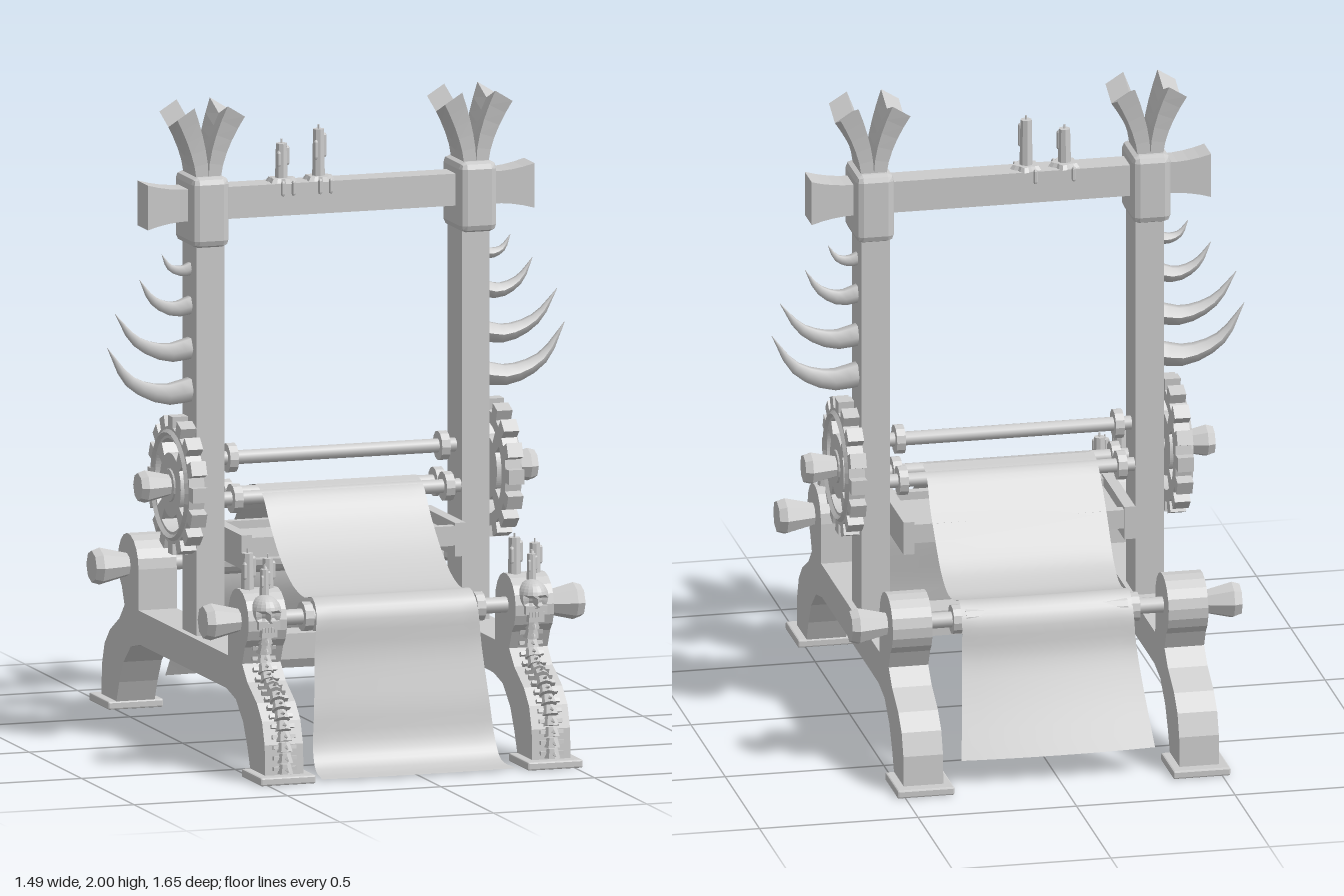
import * as THREE from 'three';
import { RoundedBoxGeometry } from 'three/addons/geometries/RoundedBoxGeometry.js';

const flat = new THREE.MeshStandardMaterial({ color: 0xcccccc, flatShading: true });
const smooth = new THREE.MeshStandardMaterial({ color: 0xcccccc });
const thin = new THREE.MeshStandardMaterial({ color: 0xcccccc, side: THREE.DoubleSide });

function add(parent, name, geo, x = 0, y = 0, z = 0, mat = flat) {
  const m = new THREE.Mesh(geo, mat);
  m.name = name;
  m.position.set(x, y, z);
  parent.add(m);
  return m;
}
const box = (w, h, d) => new THREE.BoxGeometry(w, h, d);

// Move every vertex of a geometry by a rule
function warp(geo, rule) {
  const p = geo.attributes.position, v = new THREE.Vector3();
  for (let i = 0; i < p.count; i++) {
    v.fromBufferAttribute(p, i);
    rule(v);
    p.setXYZ(i, v.x, v.y, v.z);
  }
  geo.computeVertexNormals();
  return geo;
}

// Turned part along the x axis; profile is [x, radius]
function turned(profile, sides) {
  const pts = profile.map(([x, r]) => new THREE.Vector2(r, x));
  return new THREE.LatheGeometry(pts, sides).rotateZ(-Math.PI / 2);
}

// Tapered horn swept along a curve
function horn(points, radius) {
  const curve = new THREE.CatmullRomCurve3(points.map(([x, y]) => new THREE.Vector3(x, y, 0)));
  const n = 8, sides = 6, g = new THREE.TubeGeometry(curve, n, radius, sides);
  const p = g.attributes.position, v = new THREE.Vector3();
  for (let i = 0; i <= n; i++) {
    const c = curve.getPointAt(i / n), k = Math.max(0.02, 1 - Math.pow(i / n, 1.5));
    for (let j = 0; j <= sides; j++) {
      const q = i * (sides + 1) + j;
      v.fromBufferAttribute(p, q).sub(c).multiplyScalar(k).add(c);
      p.setXYZ(q, v.x, v.y, v.z);
    }
  }
  g.computeVertexNormals();
  return g;
}

// Side frame: beam, scroll heads and S-curved legs in one profile (z, y)
function sideFrame() {
  const half = [[0.41, 0.24], [0.5, 0.22], [0.57, 0.16], [0.61, 0.09], [0.64, 0.02], [0.78, 0.02],
    [0.775, 0.12], [0.75, 0.19], [0.7, 0.24], [0.61, 0.29], [0.56, 0.34]];
  for (let i = 0; i <= 12; i++) {
    const a = -0.9 + (i / 12) * (Math.PI + 0.9);
    half.push([0.525 + 0.098 * Math.cos(a), 0.472 + 0.098 * Math.sin(a)]);
  }
  half.push([0.425, 0.345]);
  const all = half.concat(half.map(([z, y]) => [-z, y]).reverse());
  const shape = new THREE.Shape(all.map(([z, y]) => new THREE.Vector2(z, y)));
  return new THREE.ExtrudeGeometry(shape, { depth: 0.125, bevelEnabled: false })
    .translate(0, 0, -0.0625).rotateY(-Math.PI / 2);
}

// Toothed wheel with four curved slots
function gearWheel() {
  const teeth = 16, pts = [];
  for (let i = 0; i < teeth; i++) {
    for (const [f, r] of [[-0.3, 0.182], [-0.27, 0.217], [0.27, 0.217], [0.3, 0.182]]) {
      const a = ((i + f) / teeth) * Math.PI * 2;
      pts.push(new THREE.Vector2(r * Math.cos(a), r * Math.sin(a)));
    }
  }
  const shape = new THREE.Shape(pts);
  for (let i = 0; i < 4; i++) {
    const a = i * Math.PI / 2, w = 0.6, h = new THREE.Path();
    h.absarc(0, 0, 0.145, a - w, a + w, false);
    h.absarc(0, 0, 0.1, a + w, a - w, true);
    shape.holes.push(h);
  }
  return new THREE.ExtrudeGeometry(shape, { depth: 0.05, bevelEnabled: false, curveSegments: 8 })
    .translate(0, 0, -0.025).rotateY(Math.PI / 2);
}

// Cloth following a (z, y) path, its half width given at each point
function cloth(path) {
  const curve = new THREE.CatmullRomCurve3(path.map(([z, y, w]) => new THREE.Vector3(w, y, z)));
  return warp(new THREE.PlaneGeometry(2, 1, 10, 48), v => {
    const u = v.x, t = Math.min(1, Math.max(0, 0.5 - v.y)), c = curve.getPoint(t);
    v.set(u * c.x, c.y, c.z + Math.sign(c.z) * 0.012 * (1 - u * u) * t * t);
  });
}

// Melted candle with a wax pool and drips
function candle(parent, x, y, z, h, r, pool) {
  const g = new THREE.Group();
  g.name = 'candle';
  g.position.set(x, y, z);
  parent.add(g);
  add(g, 'candleStick', new THREE.CylinderGeometry(r * 0.85, r, h, 8), 0, h / 2, 0);
  add(g, 'wick', new THREE.CylinderGeometry(0.003, 0.003, 0.015, 5), 0, h + 0.006, 0);
  add(g, 'waxRun', new THREE.CapsuleGeometry(r * 0.35, h * 0.4, 2, 6), r * 0.8, h * 0.68, r * 0.3);
  add(g, 'waxRun', new THREE.CapsuleGeometry(r * 0.35, h * 0.3, 2, 6), -r * 0.6, h * 0.6, r * 0.6);
  if (!pool) return;
  const disc = warp(new THREE.CylinderGeometry(0.036, 0.045, 0.014, 20), v => {
    const k = 1 + 0.16 * Math.cos(5 * Math.atan2(v.z, v.x));
    v.x *= k; v.z *= k;
  });
  add(g, 'waxPool', disc, 0, 0.006, 0);
  for (const [dx, dz] of [[0.025, 0.045], [-0.01, 0.046], [-0.02, -0.046]])
    add(g, 'waxDrip', new THREE.CapsuleGeometry(0.007, 0.035, 2, 6), dx, -0.015, dz);
}

// Skull with pressed-in eye sockets
function skull(parent, x) {
  const g = new THREE.Group();
  g.name = 'skull';
  g.position.set(x, 0.505, 0.595);
  parent.add(g);
  const eyes = [-1, 1].map(s => new THREE.Vector3(s * 0.45, -0.12, 0.88).normalize());
  const head = warp(new THREE.SphereGeometry(1, 20, 16), v => {
    const d = Math.min(...eyes.map(e => e.distanceTo(v)));
    if (d < 0.34) v.multiplyScalar(0.72);
    v.set(v.x * 0.05, v.y * 0.053, v.z * 0.058);
  });
  add(g, 'cranium', head);
  add(g, 'cheeks', box(0.07, 0.026, 0.05), 0, -0.036, 0.022);
  add(g, 'jaw', box(0.05, 0.032, 0.045), 0, -0.058, 0.024);
  for (let i = -2; i <= 2; i++) add(g, 'tooth', box(0.008, 0.016, 0.008), i * 0.01, -0.05, 0.046);
}

// Chain of vertebrae down the face of a front leg
function spine(parent, x) {
  const curve = new THREE.CatmullRomCurve3([[0.6, 0.44], [0.585, 0.36], [0.62, 0.3], [0.7, 0.257],
    [0.758, 0.19], [0.785, 0.1], [0.79, 0.03]].map(([z, y]) => new THREE.Vector3(0, y, z)));
  for (let i = 0; i < 15; i++) {
    const t = (i + 0.5) / 15, c = curve.getPointAt(t), d = curve.getTangentAt(t);
    const v = new THREE.Group();
    v.name = 'vertebra';
    v.position.set(x, c.y, c.z);
    v.rotation.x = Math.atan2(-d.z, -d.y);
    parent.add(v);
    add(v, 'vertebraBody', new THREE.CylinderGeometry(0.018, 0.026, 0.03, 8));
    add(v, 'vertebraWings', box(0.075, 0.012, 0.016), 0, 0, -0.005);
    add(v, 'vertebraRidge', new THREE.ConeGeometry(0.01, 0.028, 4).rotateX(1.9), 0, -0.004, 0.026);
  }
}

export function createModel() {
  const model = new THREE.Group();
  const knob = turned([[0, 0], [0, 0.036], [0.09, 0.058], [0.115, 0.05], [0.115, 0]], 8);
  const horns = [
    [[[0.46, 1.11], [0.56, 1.095], [0.67, 1.14], [0.745, 1.25]], 0.04],
    [[[0.46, 1.24], [0.55, 1.225], [0.65, 1.265], [0.72, 1.355]], 0.036],
    [[[0.46, 1.375], [0.53, 1.36], [0.595, 1.39], [0.64, 1.457]], 0.03],
    [[[0.46, 1.49], [0.5, 1.478], [0.54, 1.49], [0.568, 1.533]], 0.022]];

  for (const s of [1, -1]) {
    const side = new THREE.Group();
    side.name = s > 0 ? 'leftSide' : 'rightSide';
    side.rotation.y = s > 0 ? 0 : Math.PI;
    model.add(side);
    add(side, 'sideFrame', sideFrame(), 0.435);
    add(side, 'post', box(0.09, 1.36, 0.134), 0.432, 0.96, 0);
    add(side, 'collar', new RoundedBoxGeometry(0.122, 0.22, 0.19, 1, 0.022), 0.436, 1.67, 0);

    // Split crown above the collar
    for (const a of [1, -1]) for (const b of [1, -1]) {
      const prong = warp(new THREE.BoxGeometry(1, 1, 1, 1, 5, 1), v => {
        const k = v.y + 0.5, out = a * v.x + 0.5, wide = b * v.z + 0.5;
        v.x = a * (0.02 + 0.062 * Math.pow(k, 1.6) + (out - 0.5) * (0.04 + 0.016 * k));
        v.z = b * wide * (0.062 + 0.024 * k * k);
        v.y = k * (0.225 - 0.035 * out - 0.035 * (1 - wide));
      });
      add(side, 'crownProng', prong, 0.436, 1.775, 0);
    }
    for (const [pts, r] of horns) add(side, 'sideHorn', horn(pts, r), 0, 0, 0, smooth);

    // Gear with its hub and handle
    add(side, 'gear', gearWheel(), 0.515, 0.81, 0);
    add(side, 'gearHub', turned([[0, 0], [0, 0.075], [0.035, 0.075], [0.035, 0.055], [0.045, 0.05], [0.045, 0]], 16), 0.5, 0.81, 0);
    add(side, 'gearRim', new THREE.TorusGeometry(0.164, 0.01, 4, 32).rotateY(Math.PI / 2), 0.54, 0.81, 0);
    add(side, 'gearAxle', turned([[0, 0.024], [0.12, 0.024]], 10), 0.46, 0.81, 0, smooth);
    add(side, 'gearHandle', knob, 0.54, 0.81, 0).scale.set(0.92, 0.88, 0.88);

    for (const e of [1, -1]) {
      add(side, 'footPlate', new RoundedBoxGeometry(0.18, 0.026, 0.185, 1, 0.005), 0.435, 0.013, e * 0.727);
      add(side, 'rollerHandle', knob, 0.5, 0.472, e * 0.53);
    }
  }

  // Top beam with flared ends
  add(model, 'topBeam', warp(new THREE.BoxGeometry(1.26, 0.1, 0.088, 36, 1, 1), v => {
    const t = Math.max(0, (Math.abs(v.x) - 0.5) / 0.13);
    v.y *= 1 + 0.4 * t * t;
    v.z *= 1 + 0.15 * t;
  }), 0, 1.69, 0);
  add(model, 'stretcher', box(0.78, 0.08, 0.1), 0, 0.292, 0);

  // Rods with collars: cloth rollers front and back, guide rods between the posts
  for (const [y, z, collarX, r] of [[0.472, 0.53, 0.28, 0.025], [0.472, -0.53, 0.28, 0.025],
    [0.885, 0, 0.345, 0.022], [0.765, 0.045, 0.345, 0.022], [0.765, -0.045, 0.345, 0.022]]) {
    add(model, 'rod', turned([[-0.4, r], [0.4, r]], 12), 0, y, z, smooth);
    for (const s of [1, -1])
      add(model, 'rodCollar', turned([[-0.014, 0], [-0.014, 0.046], [0.014, 0.046], [0.014, 0]], 12), s * collarX, y, z);
  }
  for (const e of [1, -1])
    add(model, 'clothRoll', turned([[-0.255, 0], [-0.255, 0.048], [0.255, 0.048], [0.255, 0]], 16), 0, 0.472, e * 0.53);

  // Work tray below the guide rods
  add(model, 'trayBase', box(0.7, 0.04, 0.3), 0, 0.615, 0);
  for (const s of [1, -1]) {
    add(model, 'trayEnd', box(0.035, 0.105, 0.335), s * 0.348, 0.617, 0);
    add(model, 'trayRail', box(0.67, 0.06, 0.03), 0, 0.63, s * 0.152);
  }

  // Woven cloth draped over both rollers
  add(model, 'frontCloth', cloth([[0, 0.798, 0.262], [0.06, 0.78, 0.262], [0.14, 0.69, 0.262], [0.24, 0.6, 0.262],
    [0.35, 0.537, 0.26], [0.45, 0.517, 0.258], [0.53, 0.528, 0.258], [0.578, 0.49, 0.262], [0.592, 0.36, 0.272],
    [0.625, 0.2, 0.285], [0.65, 0.07, 0.297], [0.69, 0.018, 0.302], [0.79, 0.006, 0.315]]), 0, 0, 0, thin);
  add(model, 'backCloth', cloth([[0, 0.798, 0.27], [-0.06, 0.78, 0.27], [-0.13, 0.7, 0.274], [-0.19, 0.635, 0.274],
    [-0.285, 0.537, 0.272], [-0.37, 0.5, 0.27], [-0.45, 0.505, 0.268], [-0.53, 0.528, 0.268], [-0.578, 0.48, 0.27],
    [-0.6, 0.37, 0.275], [-0.645, 0.26, 0.285], [-0.735, 0.08, 0.305]]), 0, 0, 0, thin);

  // Bones and candles
  for (const s of [1, -1]) {
    skull(model, s * 0.435);
    spine(model, s * 0.435);
    candle(model, s * 0.435 - 0.033, 0.545, 0.525, 0.135, 0.022, false);
    candle(model, s * 0.435 + 0.033, 0.545, 0.525, 0.115, 0.02, false);
    candle(model, s * 0.435 + 0.005, 0.545, 0.575, 0.09, 0.016, false);
  }
  candle(model, -0.178, 1.74, 0, 0.12, 0.021, true);
  candle(model, -0.057, 1.74, 0, 0.158, 0.021, true);
  return model;
}
